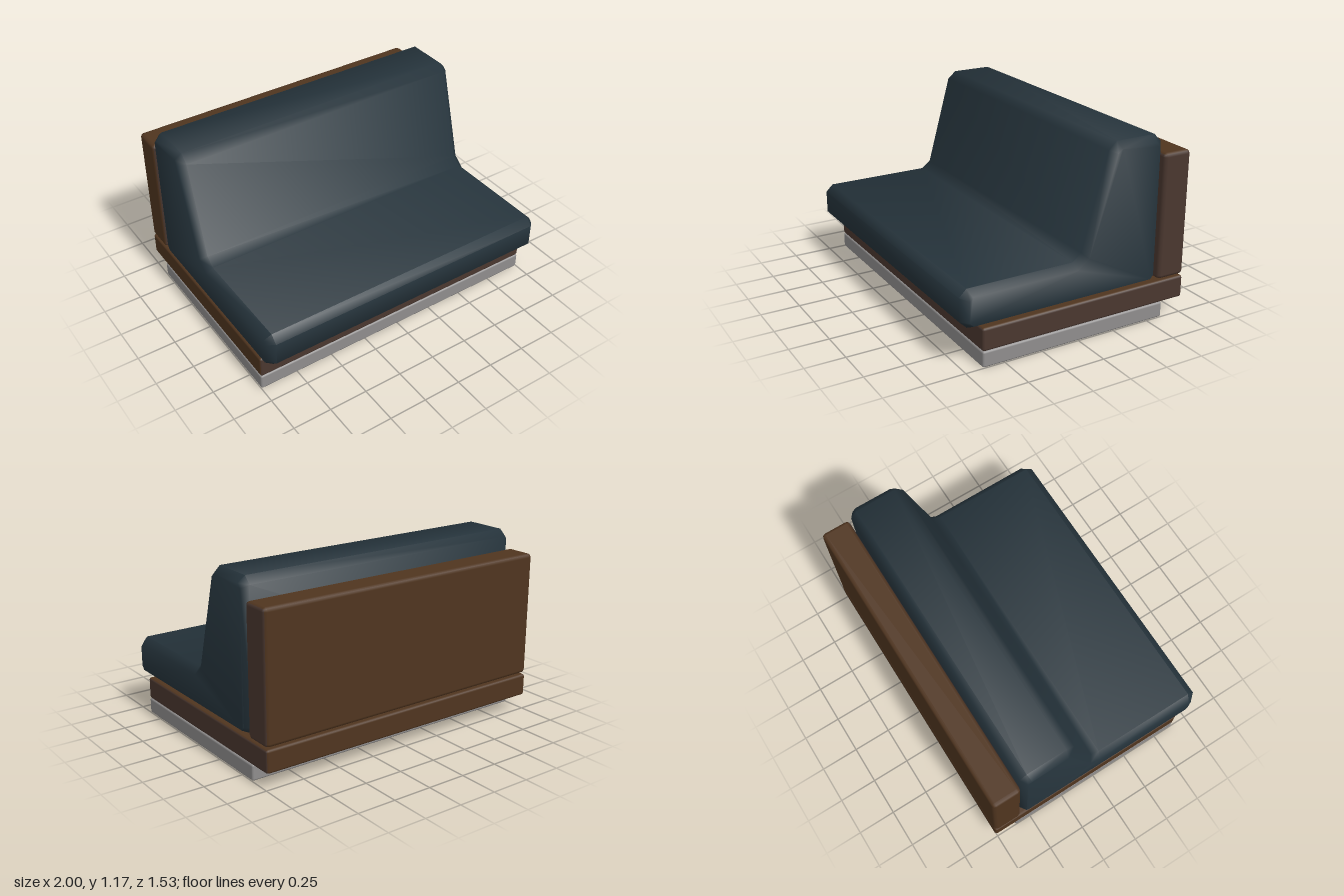
import * as THREE from 'three';
import { toCreasedNormals } from 'three/addons/utils/BufferGeometryUtils.js';
import { RoundedBoxGeometry } from 'three/addons/geometries/RoundedBoxGeometry.js';

const material = (name, color) => {
  const m = new THREE.MeshStandardMaterial({ color });
  m.name = name;
  return m;
};

// Bench-wide board with softened edges, given by its height and depth limits
function board(name, y0, y1, z0, z1, radius, materials) {
  const mesh = new THREE.Mesh(new RoundedBoxGeometry(2, y1 - y0, z1 - z0, 1, radius), materials);
  mesh.position.set(0, (y0 + y1) / 2, (z0 + z1) / 2);
  mesh.name = name;
  return mesh;
}

// Solid skinned along x through matching [z, y] cross-sections
function loft(sections) {
  const n = sections[0].points.length;
  const positions = sections.flatMap(s => s.points.flatMap(([z, y]) => [s.x, y, z]));
  const index = [];
  for (let s = 0; s < sections.length - 1; s++) {
    for (let j = 0; j < n; j++) {
      const k = (j + 1) % n;
      const a = s * n + j, b = s * n + k, c = b + n, d = a + n;
      index.push(a, b, c, a, c, d);
    }
  }
  // End caps
  const outline = sections[0].points.map(([z, y]) => new THREE.Vector2(-z, y));
  const last = (sections.length - 1) * n;
  for (const [a, b, c] of THREE.ShapeUtils.triangulateShape(outline, [])) {
    index.push(last + a, last + b, last + c, a, c, b);
  }
  const geometry = new THREE.BufferGeometry();
  geometry.setAttribute('position', new THREE.Float32BufferAttribute(positions, 3));
  geometry.setIndex(index);
  return toCreasedNormals(geometry, 1.0);
}

export function createModel() {
  const group = new THREE.Group();
  group.name = 'boothBench';

  const upholstery = material('dark blue upholstery', 0x25333b);
  const warmWood = material('warm brown wood', 0x50351f);
  const greyWood = material('dull brown wood', 0x4a372f);
  const metal = material('grey plinth', 0x8f8d8d);
  // Face order: +x, -x, +y, -y, +z, -z
  const wood = [greyWood, warmWood, warmWood, warmWood, greyWood, warmWood];

  group.add(
    board('plinth', 0, 0.1, -0.61, 0.64, 0.012, metal),
    board('baseBoard', 0.1, 0.243, -0.762, 0.64, 0.015, wood),
    board('backBoard', 0.253, 1.05, -0.762, -0.572, 0.024, wood)
  );

  // One-piece seat and backrest cushion: full profile, and inset profile at its ends
  const full = [
    [0.765, 0.445], [0.718, 0.49], [0.03, 0.49], [-0.032, 0.535], [-0.195, 1.122], [-0.25, 1.17],
    [-0.515, 1.17], [-0.56, 1.125], [-0.56, 0.3], [-0.52, 0.255], [0.718, 0.255], [0.765, 0.3],
  ].reverse();
  const inset = [
    [0.72, 0.43], [0.7, 0.45], [0.015, 0.45], [-0.06, 0.51], [-0.232, 1.108], [-0.262, 1.13],
    [-0.505, 1.13], [-0.53, 1.105], [-0.53, 0.3], [-0.51, 0.275], [0.7, 0.275], [0.72, 0.3],
  ].reverse();
  const cushion = new THREE.Mesh(loft([
    { x: -1, points: inset },
    { x: -0.957, points: full },
    { x: 0.957, points: full },
    { x: 1, points: inset },
  ]), upholstery);
  cushion.name = 'cushion';
  group.add(cushion);

  return group;
}
